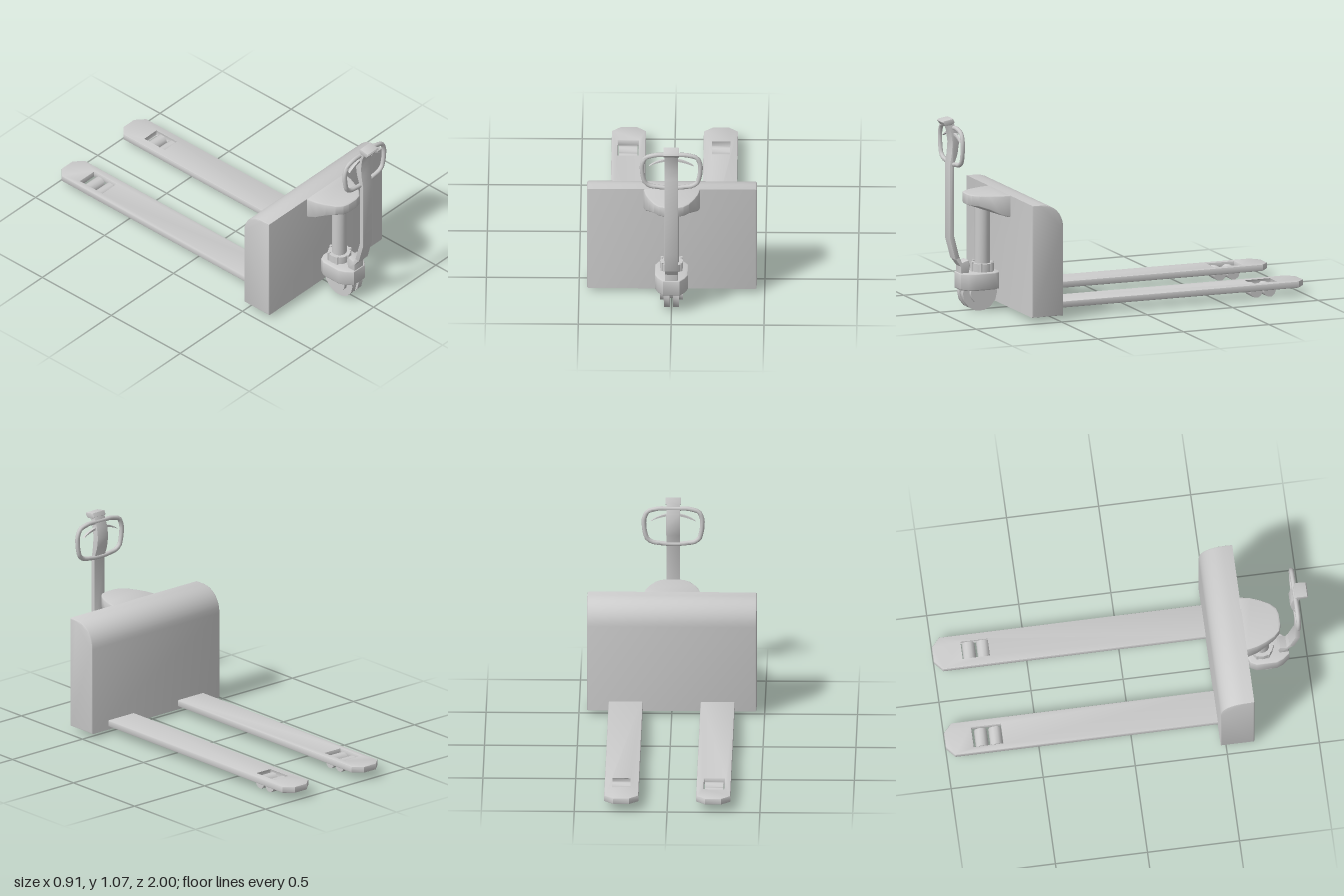
import * as THREE from 'three';
import { toCreasedNormals } from 'three/addons/utils/BufferGeometryUtils.js';

const material = new THREE.MeshStandardMaterial({ color: 0xcccccc, side: THREE.DoubleSide });

function add(parent, name, geometry, crease = 0.6) {
  const mesh = new THREE.Mesh(toCreasedNormals(geometry, crease), material);
  mesh.name = name;
  parent.add(mesh);
  return mesh;
}

const toShape = (pts) => new THREE.Shape(pts.map(([a, b]) => new THREE.Vector2(a, b)));

function extrude(shape, depth, bevel) {
  return new THREE.ExtrudeGeometry(shape, {
    depth: depth - 2 * bevel, bevelEnabled: bevel > 0, bevelThickness: bevel,
    bevelSize: bevel, bevelOffset: -bevel, bevelSegments: 2, curveSegments: 8,
  }).translate(0, 0, bevel);
}

// side outline given as (z, y), centred across x
const fromSide = (shape, width, bevel = 0) =>
  extrude(shape, width, bevel).translate(0, 0, -width / 2).rotateY(-Math.PI / 2);

// plan outline given as (x, z), reaching down from the top height
const fromPlan = (shape, top, height, bevel = 0) =>
  extrude(shape, height, bevel).rotateX(Math.PI / 2).translate(0, top, 0);

const axle = (radius, length, x, y, z, sides) =>
  new THREE.CylinderGeometry(radius, radius, length, sides).rotateZ(Math.PI / 2).translate(x, y, z);

const mirrored = (half) => [...half, ...half.slice().reverse().map(([x, z]) => [-x, z])];

export function createModel() {
  const model = new THREE.Group();

  // upright body with the rounded top edge on the fork side
  const body = new THREE.Shape();
  body.moveTo(0.653, 0.027);
  body.lineTo(0.653, 0.643);
  body.lineTo(0.6, 0.643);
  body.bezierCurveTo(0.53, 0.643, 0.47, 0.59, 0.47, 0.51);
  body.lineTo(0.47, 0.027);
  add(model, 'body', fromSide(body, 0.914, 0.008));

  // forks with roller openings
  for (const s of [-1, 1]) {
    const fork = new THREE.Group();
    fork.name = s > 0 ? 'leftFork' : 'rightFork';
    model.add(fork);
    const plan = toShape([
      [0.155, 0.5], [0.34, 0.5], [0.34, -0.955], [0.29, -1], [0.205, -1], [0.155, -0.955],
    ].map(([x, z]) => [s * x, z]));
    plan.holes.push(new THREE.Path([
      [0.195, -0.69], [0.305, -0.69], [0.305, -0.85], [0.195, -0.85],
    ].map(([x, z]) => new THREE.Vector2(s * x, z))));
    add(fork, 'forkBlade', fromPlan(plan, 0.08, 0.036, 0.006));
    for (const z of [-0.803, -0.725]) {
      add(fork, 'loadRoller', axle(0.035, 0.1, s * 0.25, 0.035, z, 10), 0.8);
    }
  }

  // hood over the steering column, its underside rising to the front
  const hoodPlan = toShape(mirrored([
    [0.153, 0.64], [0.152, 0.66], [0.142, 0.71], [0.122, 0.76], [0.095, 0.81], [0.065, 0.84], [0.03, 0.85],
  ]));
  const hood = fromPlan(hoodPlan, 0.643, 0.12, 0.008);
  const p = hood.attributes.position;
  for (let i = 0; i < p.count; i++) {
    const t = THREE.MathUtils.smoothstep(p.getZ(i), 0.65, 0.82);
    p.setY(i, 0.643 - (0.643 - p.getY(i)) * (1 - 0.5 * t));
  }
  hood.computeVertexNormals();
  add(model, 'hood', hood, 0.7);

  // steering column, collar and bolts
  add(model, 'column', new THREE.CylinderGeometry(0.041, 0.041, 0.39, 16).translate(0, 0.395, 0.752));
  add(model, 'collar', new THREE.CylinderGeometry(0.062, 0.062, 0.05, 16).translate(0, 0.232, 0.752));
  for (let i = 0; i < 6; i++) {
    const a = (i + 0.5) * Math.PI / 3;
    add(model, 'collarBolt', new THREE.CylinderGeometry(0.009, 0.009, 0.05, 6)
      .translate(0.06 * Math.cos(a), 0.238, 0.752 + 0.06 * Math.sin(a)));
  }

  // drive housing
  const housing = toShape(mirrored([
    [0.04, 0.67], [0.072, 0.684], [0.089, 0.715], [0.089, 0.825], [0.074, 0.862], [0.045, 0.897],
  ]));
  add(model, 'driveHousing', fromPlan(housing, 0.213, 0.093, 0.006), 0.8);

  // twin drive wheel and its hubs
  for (const s of [-1, 1]) {
    const side = s > 0 ? 'left' : 'right';
    add(model, side + 'DriveWheel', axle(0.1, 0.032, s * 0.025, 0.1, 0.783, 14));
    add(model, side + 'WheelHub', axle(0.062, 0.022, s * 0.05, 0.103, 0.783, 14));
  }
  add(model, 'wheelAxle', axle(0.05, 0.03, 0, 0.1, 0.783, 12));

  // tiller: link, stem and head
  const tiller = new THREE.Group();
  tiller.name = 'tiller';
  model.add(tiller);
  add(tiller, 'tillerLink', fromSide(toShape([
    [0.845, 0.205], [0.893, 0.205], [0.893, 0.25], [0.925, 0.295], [0.9, 0.305], [0.885, 0.27], [0.848, 0.282], [0.838, 0.255],
  ]), 0.07, 0.003), 0.4);
  add(tiller, 'tillerStem', fromSide(toShape([
    [0.925, 0.29], [0.957, 0.41], [0.957, 0.81], [0.947, 0.87], [0.942, 0.93], [0.95, 0.99], [0.968, 1.045],
    [0.935, 1.045], [0.912, 0.99], [0.903, 0.93], [0.912, 0.87], [0.932, 0.81], [0.932, 0.42], [0.9, 0.3],
  ]), 0.074, 0.003));
  add(tiller, 'tillerHead', fromSide(toShape([
    [0.985, 1.03], [1, 1.05], [0.995, 1.058], [0.94, 1.067], [0.93, 1.045], [0.95, 1.033],
  ]), 0.084, 0.003), 0.4);

  // closed hand loop
  const loop = mirrored([
    [0.035, 0.815], [0.11, 0.825], [0.142, 0.848], [0.155, 0.9], [0.157, 0.955], [0.138, 1], [0.08, 1.017], [0.03, 1.017],
  ]).map(([x, y]) => new THREE.Vector3(x, y, 0.933));
  const loopCurve = new THREE.CatmullRomCurve3(loop, true, 'catmullrom', 0.3);
  add(tiller, 'handLoop', new THREE.TubeGeometry(loopCurve, 48, 0.0125, 8, true), 1);

  // curved control lever inside the loop
  const lever = new THREE.Shape();
  lever.moveTo(-0.12, 0.948);
  lever.quadraticCurveTo(-0.07, 0.99, 0, 0.992);
  lever.quadraticCurveTo(0.07, 0.99, 0.12, 0.948);
  lever.quadraticCurveTo(0.06, 0.978, 0, 0.978);
  lever.quadraticCurveTo(-0.06, 0.978, -0.12, 0.948);
  add(tiller, 'controlLever', extrude(lever, 0.014, 0).translate(0, 0, 0.922));

  return model;
}
